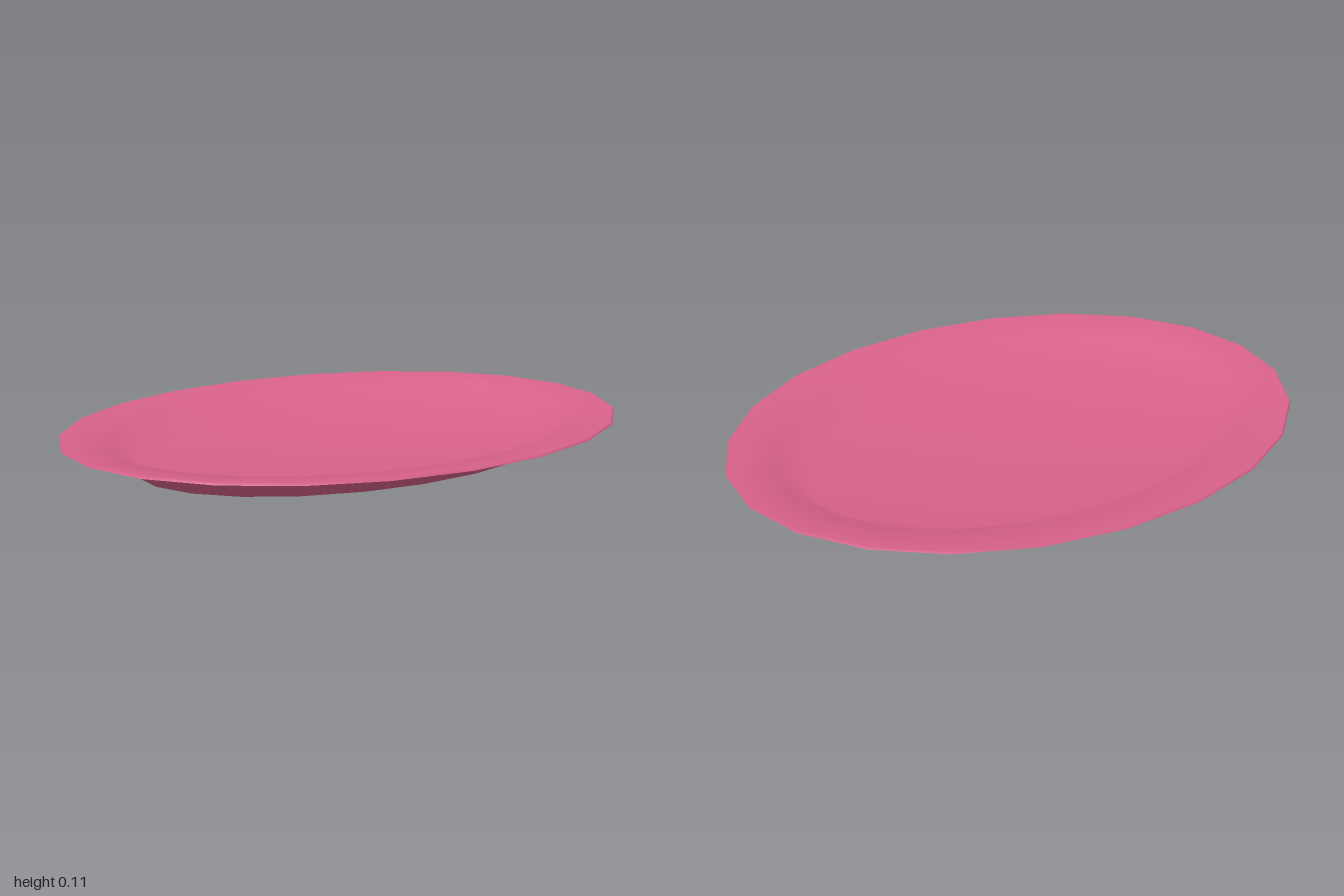
import * as THREE from 'three';
import { mergeVertices } from 'three/addons/utils/BufferGeometryUtils.js';

const SIDES = 22;

// Oval shell: each profile point is [x radius, z radius, height].
function ovalShell(name, profile, material) {
  const points = profile.map(([, rz, y]) => new THREE.Vector2(rz, y));
  let geometry = new THREE.LatheGeometry(points, SIDES);
  const pos = geometry.attributes.position;
  // Widen every ring along x; vertices run ring by ring within each side.
  for (let i = 0; i < pos.count; i++) {
    const [rx, rz] = profile[i % profile.length];
    if (rz > 0) pos.setX(i, pos.getX(i) * rx / rz);
  }
  geometry.deleteAttribute('uv');
  geometry.deleteAttribute('normal');
  geometry = mergeVertices(geometry, 1e-5);
  geometry.computeVertexNormals();
  const mesh = new THREE.Mesh(geometry, material);
  mesh.name = name;
  return mesh;
}

export function createModel() {
  const plate = new THREE.Group();
  plate.name = 'ovalPlate';
  const glaze = new THREE.MeshStandardMaterial({ color: 0xd9628a });

  // Flat foot, sloping wall and underside of the flared rim
  plate.add(ovalShell('underside', [
    [0, 0, 0],
    [0.76, 0.49, 0],
    [0.855, 0.61, 0.08],
    [1.01, 0.765, 0.105],
  ], glaze));

  // Thin lip, rim and shallow well
  plate.add(ovalShell('eatingSurface', [
    [1.01, 0.765, 0.105],
    [1.005, 0.76, 0.114],
    [0.845, 0.60, 0.092],
    [0.745, 0.48, 0.018],
    [0, 0, 0.018],
  ], glaze));

  return plate;
}
